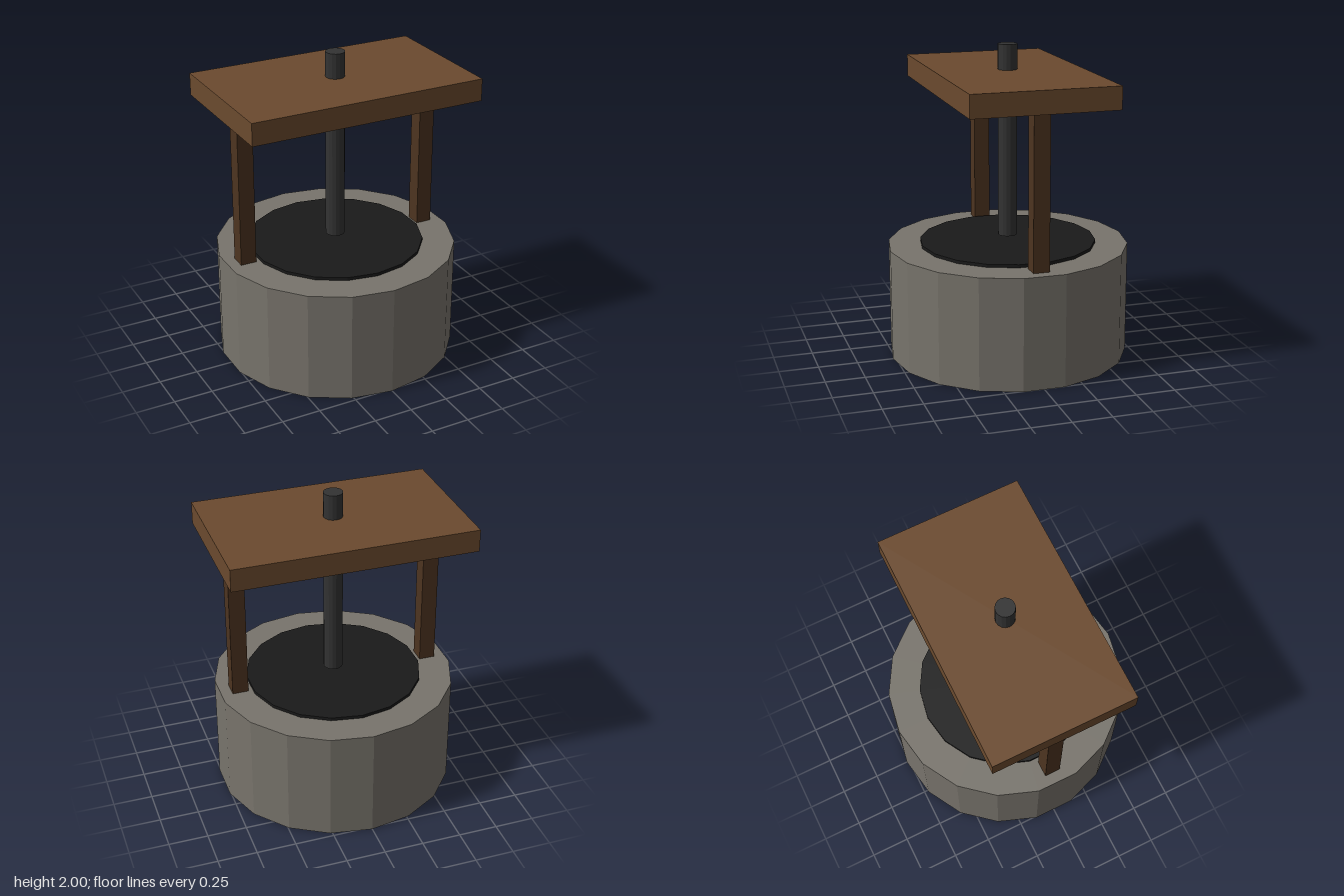
import * as THREE from 'three';

const SIDES = 18;

function addPart(group, name, geometry, color, x, y, z) {
  const material = new THREE.MeshStandardMaterial({ color, flatShading: true });
  const mesh = new THREE.Mesh(geometry, material);
  mesh.name = name;
  mesh.position.set(x, y, z);
  group.add(mesh);
  return mesh;
}

export function createModel() {
  const group = new THREE.Group();
  group.name = 'well';

  // Stone wall and the dark water disc, just proud of its top
  addPart(group, 'stoneWall', new THREE.CylinderGeometry(0.77, 0.77, 0.72, SIDES), 0x78746c, 0, 0.36, 0);
  addPart(group, 'water', new THREE.CylinderGeometry(0.564, 0.564, 0.04, SIDES), 0x1a1a1a, 0, 0.72, 0);

  // Two posts standing on the rim
  for (const [side, name] of [[1, 'leftPost'], [-1, 'rightPost']]) {
    addPart(group, name, new THREE.BoxGeometry(0.103, 0.98, 0.103), 0x4d3420, side * 0.636, 1.21, 0);
  }

  // Flat roof with the rod passing through it
  addPart(group, 'roof', new THREE.BoxGeometry(1.54, 0.143, 0.923), 0x6b4a2e, 0, 1.768, 0);
  addPart(group, 'rod', new THREE.CylinderGeometry(0.061, 0.061, 1.23, 16), 0x333333, 0, 1.385, 0);

  return group;
}
